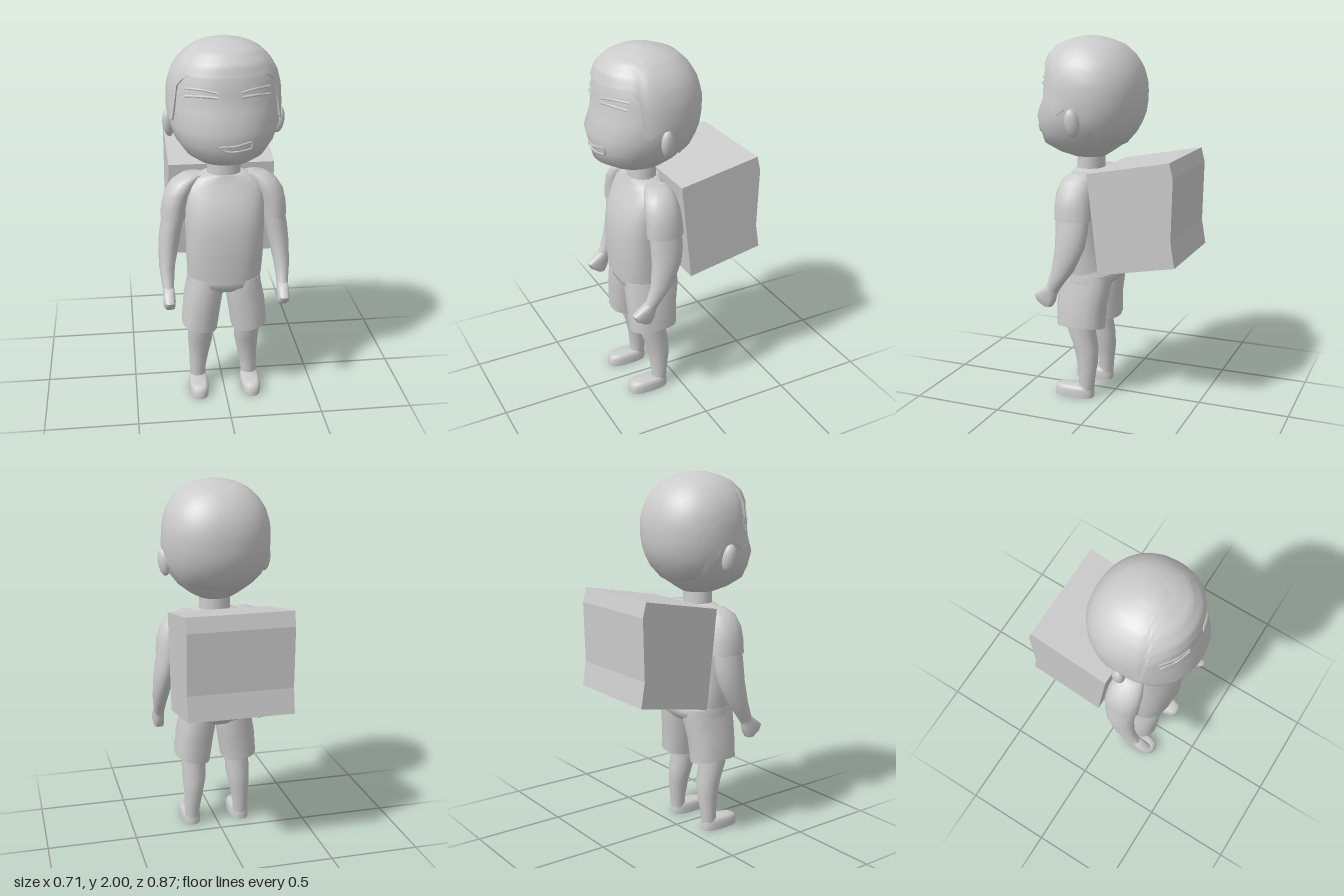
import * as THREE from 'three';
import { toCreasedNormals } from 'three/addons/utils/BufferGeometryUtils.js';

const TAU = Math.PI * 2;
const material = new THREE.MeshStandardMaterial({ color: 0xcccccc, side: THREE.DoubleSide });

function mesh(name, geometry) {
  const m = new THREE.Mesh(geometry, material);
  m.name = name;
  return m;
}

// Skin closed rings of points, listed from bottom to top
function skin(rings, capBottom = true, capTop = true) {
  const n = rings[0].length, pos = [], idx = [];
  rings.forEach(r => r.forEach(p => pos.push(p.x, p.y, p.z)));
  for (let i = 0; i < rings.length - 1; i++) {
    for (let j = 0; j < n; j++) {
      const a = i * n + j, b = i * n + (j + 1) % n, c = a + n, d = b + n;
      idx.push(a, c, b, b, c, d);
    }
  }
  const cap = (i, top) => {
    const c = new THREE.Vector3();
    rings[i].forEach(p => c.addScaledVector(p, 1 / n));
    const k = pos.length / 3;
    pos.push(c.x, c.y, c.z);
    for (let j = 0; j < n; j++) {
      const a = i * n + j, b = i * n + (j + 1) % n;
      if (top) idx.push(k, b, a); else idx.push(k, a, b);
    }
  };
  if (capBottom) cap(0, false);
  if (capTop) cap(rings.length - 1, true);
  const g = new THREE.BufferGeometry();
  g.setAttribute('position', new THREE.Float32BufferAttribute(pos, 3));
  g.setIndex(idx);
  return toCreasedNormals(g, 0.95);
}

// Point on a rounded cross-section [y, centre x, centre z, radius x, radius z, slope]
function onSection([y, cx, cz, rx, rz, slope = 0], angle, power) {
  const f = v => Math.sign(v) * Math.abs(v) ** (2 / power);
  const c = f(Math.cos(angle)), s = f(Math.sin(angle));
  return new THREE.Vector3(cx + rx * c, y + slope * c, cz + rz * s);
}

function ring(section, segments, power) {
  return Array.from({ length: segments }, (_, j) => onSection(section, j / segments * TAU, power));
}

function loft(sections, { segments = 16, power = 2, bottom = true, top = true } = {}) {
  return skin(sections.map(s => ring(s, segments, power)), bottom, top);
}

// Linear lookup in a table whose first column is the key
function lookup(table, key) {
  let i = 0;
  while (i < table.length - 2 && key > table[i + 1][0]) i++;
  const a = table[i], b = table[i + 1];
  const t = THREE.MathUtils.clamp((key - a[0]) / (b[0] - a[0]), 0, 1);
  return a.map((v, k) => v + (b[k] - v) * t);
}

// Head outline: y, half width, front z, back z
const HEAD = [
  [1.36, 0.09, 0.24, 0.06], [1.385, 0.14, 0.32, 0.02], [1.43, 0.2, 0.4, -0.045],
  [1.5, 0.255, 0.415, -0.105], [1.58, 0.282, 0.432, -0.145], [1.67, 0.288, 0.395, -0.157],
  [1.76, 0.284, 0.388, -0.155], [1.84, 0.262, 0.38, -0.13], [1.9, 0.225, 0.36, -0.09],
  [1.95, 0.17, 0.31, -0.035], [1.98, 0.105, 0.235, 0.045], [1.993, 0.04, 0.18, 0.1]];
const HEAD_POWER = 2.15;

function headSection(y, grow = 0) {
  const [, w, front, back] = lookup(HEAD, y);
  return [y, 0, (front + back) / 2, w + grow, (front - back) / 2 + grow];
}

function facePoint(x, y, lift) {
  const [, , cz, rx, rz] = headSection(y);
  const z = cz + rz * (1 - Math.abs(x / rx) ** HEAD_POWER) ** (1 / HEAD_POWER);
  return new THREE.Vector3(x, y, z + lift);
}

// Thin ridge laid on the face along a few x, y points
function faceLine(name, points, radius, closed = false) {
  const path = new THREE.CatmullRomCurve3(points.map(([x, y]) => facePoint(x, y, 0.001)), closed, 'catmullrom', 0.2);
  return mesh(name, new THREE.TubeGeometry(path, 24, radius, 6, closed));
}

// Lower edge of the hair: angle from the front, y
const HAIRLINE = [[0, 1.845], [0.85, 1.85], [1.05, 1.79], [1.15, 1.62], [1.32, 1.6],
  [1.5, 1.65], [1.7, 1.62], [2.25, 1.45], [Math.PI, 1.43]];

function hairGeometry() {
  const n = 48, rows = 16, rings = [];
  for (let i = -1; i <= rows; i++) {
    const t = Math.max(i, 0) / rows;
    const grow = i < 0 ? -0.006 : 0.009;
    rings.push(Array.from({ length: n }, (_, j) => {
      const angle = j / n * TAU;
      let fromFront = Math.abs(angle - Math.PI / 2);
      if (fromFront > Math.PI) fromFront = TAU - fromFront;
      const low = lookup(HAIRLINE, fromFront)[1];
      const y = low + (1.993 - low) * Math.sin(t * Math.PI / 2);
      const p = onSection(headSection(y, grow), angle, HEAD_POWER);
      p.y += 0.007 * t;
      return p;
    }));
  }
  return skin(rings, false, true);
}

function createHead() {
  const head = new THREE.Group();
  head.name = 'head';
  head.add(mesh('face', loft(HEAD.map(h => headSection(h[0])), { segments: 32, power: HEAD_POWER })));
  head.add(mesh('hair', hairGeometry()));
  for (const s of [1, -1]) {
    const side = s > 0 ? 'left' : 'right';
    head.add(faceLine(side + 'Eye', [[s * 0.06, 1.752], [s * 0.13, 1.756], [s * 0.21, 1.748]], 0.007));
    head.add(faceLine(side + 'Brow', [[s * 0.06, 1.775], [s * 0.14, 1.788], [s * 0.21, 1.785]], 0.006));
    const ear = mesh(side + 'Ear', new THREE.SphereGeometry(1, 14, 10));
    ear.scale.set(0.03, 0.075, 0.04);
    ear.position.set(s * 0.285, 1.565, 0.13);
    ear.rotation.set(0.15, s * 0.4, -s * 0.12);
    head.add(ear);
  }
  // Lopsided grin
  head.add(faceLine('mouth', [[-0.05, 1.51], [0.03, 1.515], [0.11, 1.532], [0.107, 1.495], [0.03, 1.483], [-0.02, 1.487]], 0.006, true));
  return head;
}

function createArm(s) {
  const arm = new THREE.Group();
  arm.name = s > 0 ? 'leftArm' : 'rightArm';
  const place = list => list.map(([y, x, ...rest]) => [y, s * x, ...rest]);
  arm.add(mesh('sleeve', loft(place([
    [1.05, 0.27, 0.138, 0.069, 0.102], [1.12, 0.262, 0.14, 0.072, 0.1], [1.19, 0.243, 0.142, 0.075, 0.097],
    [1.25, 0.21, 0.14, 0.07, 0.085], [1.285, 0.165, 0.135, 0.06, 0.06]]))));
  arm.add(mesh('forearm', loft(place([
    [0.65, 0.309, 0.255, 0.029, 0.042], [0.7, 0.311, 0.225, 0.033, 0.046], [0.78, 0.312, 0.18, 0.043, 0.064],
    [0.9, 0.298, 0.145, 0.056, 0.083], [0.98, 0.286, 0.138, 0.06, 0.09], [1.07, 0.27, 0.138, 0.06, 0.09]]))));
  arm.add(mesh('hand', loft(place([
    [0.568, 0.306, 0.27, 0.026, 0.022], [0.595, 0.308, 0.282, 0.032, 0.052], [0.628, 0.308, 0.285, 0.033, 0.064],
    [0.66, 0.309, 0.26, 0.031, 0.048], [0.685, 0.31, 0.24, 0.029, 0.038]]), { power: 2.6 })));
  return arm;
}

function createLeg(s) {
  const leg = new THREE.Group();
  leg.name = s > 0 ? 'leftLeg' : 'rightLeg';
  const place = list => list.map(([y, x, z, rx, rz, slope = 0]) => [y, s * x, z, rx, rz, s * slope]);
  // Open trouser leg with a turned-in hem
  leg.add(mesh('shortsLeg', loft(place([
    [0.44, 0.138, 0.152, 0.085, 0.118, 0.015], [0.412, 0.138, 0.152, 0.088, 0.122, 0.018],
    [0.412, 0.138, 0.152, 0.098, 0.134, 0.018], [0.55, 0.122, 0.15, 0.103, 0.14, 0.01],
    [0.65, 0.104, 0.143, 0.102, 0.152], [0.72, 0.1, 0.14, 0.096, 0.15]]), { power: 2.4, bottom: false })));
  leg.add(mesh('shin', loft(place([
    [0.04, 0.146, 0.118, 0.044, 0.043], [0.1, 0.146, 0.116, 0.045, 0.045], [0.2, 0.138, 0.115, 0.056, 0.058],
    [0.29, 0.131, 0.125, 0.068, 0.068], [0.4, 0.13, 0.155, 0.071, 0.08], [0.58, 0.12, 0.15, 0.075, 0.085]]))));
  leg.add(mesh('shoe', loft(place([
    [0, 0.147, 0.19, 0.053, 0.115], [0.042, 0.147, 0.19, 0.054, 0.115],
    [0.06, 0.147, 0.185, 0.048, 0.105], [0.066, 0.147, 0.17, 0.04, 0.085]]), { segments: 20, power: 2.7 })));
  return leg;
}

function createPack() {
  // Side outline as z, y, drawn across the width
  const outline = [[0.05, 1.305], [-0.4, 1.39], [-0.42, 1.31], [-0.412, 0.98], [-0.435, 0.845], [-0.01, 0.765]];
  const shape = new THREE.Shape(outline.map(([z, y]) => new THREE.Vector2(-z, y)));
  const g = new THREE.ExtrudeGeometry(shape, { depth: 0.57, bevelEnabled: false });
  g.translate(0, 0, -0.285);
  g.rotateY(Math.PI / 2);
  return mesh('backpackBox', g);
}

export function createModel() {
  const model = new THREE.Group();
  model.name = 'figure';
  model.add(createHead());
  model.add(mesh('neck', loft([
    [1.25, 0, 0.143, 0.092, 0.078], [1.32, 0, 0.143, 0.088, 0.075], [1.4, 0, 0.143, 0.088, 0.075]])));
  model.add(mesh('shirt', loft([
    [0.725, 0, 0.155, 0.2, 0.163], [0.85, 0, 0.175, 0.207, 0.15], [1, 0, 0.18, 0.21, 0.146],
    [1.1, 0, 0.172, 0.212, 0.136], [1.18, 0, 0.158, 0.212, 0.117], [1.24, 0, 0.147, 0.2, 0.098],
    [1.275, 0, 0.143, 0.16, 0.088], [1.295, 0, 0.142, 0.1, 0.083]], { segments: 28, power: 2.5 })));
  model.add(mesh('shortsHips', loft([
    [0.64, 0, 0.14, 0.14, 0.12], [0.675, 0, 0.138, 0.203, 0.16], [0.71, 0, 0.138, 0.2, 0.166],
    [0.75, 0, 0.148, 0.193, 0.152]], { segments: 28, power: 2.5 })));
  for (const s of [1, -1]) model.add(createArm(s), createLeg(s));
  model.add(createPack());
  return model;
}
